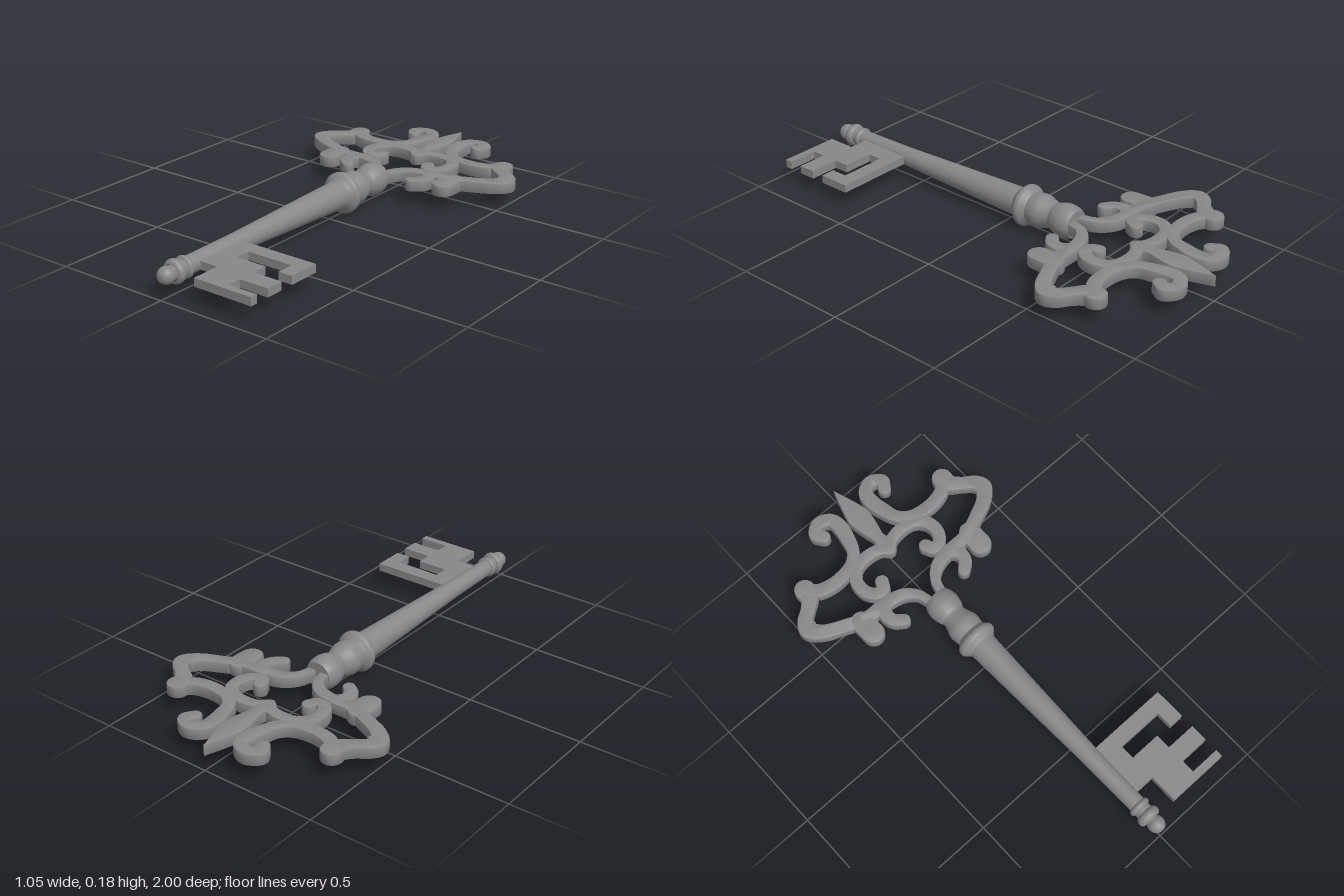
import * as THREE from 'three';
import { toCreasedNormals } from 'three/addons/utils/BufferGeometryUtils.js';

const AXIS = 0.09; // height of the shaft's axis
const FLAT = 0.088; // height of the middle of the flat parts

export function createModel() {
  const key = new THREE.Group();
  key.name = 'key';
  const mat = new THREE.MeshStandardMaterial({ color: 0x888888 });

  const add = (name, geometry, parent = key) => {
    const mesh = new THREE.Mesh(geometry, mat);
    mesh.name = name;
    parent.add(mesh);
  };

  // Flat plate lying in the xz plane; points are [x, z] in hundredths
  const plate = (points, thickness, bevel) => {
    const shape = new THREE.Shape(points.map(([x, z]) => new THREE.Vector2(x / 100, -z / 100)));
    const geo = new THREE.ExtrudeGeometry(shape, {
      depth: thickness - 2 * bevel, bevelEnabled: bevel > 0, bevelSize: bevel,
      bevelThickness: bevel, bevelOffset: -bevel, bevelSegments: 2,
    });
    geo.translate(0, 0, bevel - thickness / 2);
    geo.rotateX(-Math.PI / 2);
    geo.translate(0, FLAT, 0);
    return toCreasedNormals(geo, 0.7);
  };

  // Ribbon outline of varying half width with round ends, from [x, z, halfWidth]
  const ribbon = (stations, side) => {
    const curve = new THREE.CatmullRomCurve3(
      stations.map(([x, z, w]) => new THREE.Vector3(x * side, z, w)), false, 'centripetal');
    const n = stations.length * 7;
    const left = [], right = [], caps = [[], []];
    for (let i = 0; i <= n; i++) {
      const p = curve.getPoint(i / n), t = curve.getTangent(i / n);
      const a = Math.atan2(t.y, t.x);
      const at = (b) => [p.x + p.z * Math.cos(b), p.y + p.z * Math.sin(b)];
      left.push(at(a + Math.PI / 2));
      right.unshift(at(a - Math.PI / 2));
      if (i === 0 || i === n) {
        const start = i === 0 ? a - Math.PI / 2 : a + Math.PI / 2;
        for (let k = 1; k < 8; k++) caps[i ? 1 : 0].push(at(start - (k * Math.PI) / 8));
      }
    }
    return plate([...left, ...caps[1], ...right, ...caps[0]], 0.051, 0.006);
  };

  // Turned part around the z axis, from [radius, z]
  const turned = (name, profile) => {
    const geo = new THREE.LatheGeometry(profile.map(([r, z]) => new THREE.Vector2(r, z)), 40);
    geo.rotateX(Math.PI / 2);
    geo.translate(0, AXIS, 0);
    add(name, geo);
  };
  const smooth = (profile, n) =>
    new THREE.SplineCurve(profile.map(([r, z]) => new THREE.Vector2(r, z)))
      .getPoints(n).map((p) => [p.x, p.y]);
  // Rounded ring swelling from radius r0 to r1
  const ring = (name, z, half, r0, r1) => {
    const profile = [];
    for (let i = 0; i <= 12; i++) {
      const a = (i / 12) * Math.PI;
      profile.push([r0 + (r1 - r0) * Math.sin(a), z - half * Math.cos(a)]);
    }
    turned(name, profile);
  };

  // Ornamental bow: mirrored scrolls
  const bow = new THREE.Group();
  bow.name = 'bow';
  key.add(bow);
  const scrolls = {
    upperScroll: [
      [16.9, -86.4, 2.8], [18.9, -89.8, 2.7], [14.4, -92.8, 2.8], [9.6, -90.2, 3],
      [8.8, -84.8, 3.3], [10, -79, 3.1], [11.9, -73.3, 2.7], [16.5, -69, 2.7],
      [25.5, -67.2, 2.9], [33, -68.5, 3], [37.5, -71.5, 3],
    ],
    sideRail: [
      [38.4, -73.3, 4.5], [39.2, -69.5, 3.8], [43, -65.8, 3], [47.3, -62.3, 3.3],
      [48.8, -58.7, 3.7], [45, -54, 3.2], [37, -50, 2.9], [27.5, -46.3, 3],
      [18, -46, 2.8], [10, -44.3, 2.7], [5, -40, 2.2], [2.9, -33, 2],
    ],
    lowerKnob: [[30.2, -46.5, 4.6], [29.8, -39.5, 4.8]],
    lowerCurl: [[18, -46, 3], [20.6, -42.5, 3], [20, -38.2, 2.8], [16.6, -35.1, 2.6]],
    heartScroll: [
      [0, -63.3, 2.6], [3, -66, 2.6], [9, -67.3, 2.7], [15.8, -66.3, 2.8],
      [19.9, -61.8, 2.8], [20.3, -56, 2.8], [17.6, -51.9, 2.7], [13.8, -51.2, 2.5],
      [12.2, -54.4, 2.9],
    ],
  };
  for (const [name, stations] of Object.entries(scrolls)) {
    for (const side of [1, -1]) add(name, ribbon(stations, side), bow);
  }

  // Pointed leaf at the end of the bow
  const half = smooth([[0, -100], [2.2, -93.5], [4.3, -86.5], [4.9, -82.5], [3.8, -76],
    [2.6, -71], [3, -67], [0, -61.5]], 28);
  add('finial', plate([...half, ...half.slice(1, -1).reverse().map(([x, z]) => [-x, z])], 0.051, 0.004), bow);

  // Turned grip, collar and tapering shaft
  turned('gripEnd', [[0, -0.34], [0.059, -0.34]]);
  turned('grip', smooth([[0.059, -0.34], [0.068, -0.318], [0.071, -0.285], [0.063, -0.25],
    [0.055, -0.232], [0.061, -0.205], [0.071, -0.175], [0.071, -0.15], [0.064, -0.11]], 40));
  turned('collar', smooth([[0.062, -0.128], [0.073, -0.115], [0.086, -0.102], [0.089, -0.09],
    [0.086, -0.078], [0.073, -0.065], [0.06, -0.05]], 24));
  turned('shaft', [[0.064, -0.07], [0.061, -0.04], [0.04, 0.59], [0.036, 0.9]]);

  // Rings and rounded tip
  ring('tipRing', 0.87, 0.013, 0.034, 0.046);
  ring('tipRing', 0.92, 0.02, 0.034, 0.05);
  turned('tip', smooth([[0.034, 0.9], [0.031, 0.94], [0.036, 0.962], [0.031, 0.983],
    [0.017, 0.997], [0, 1]], 24));

  // Toothed bit on the model's left
  add('bit', plate([
    [2, 58], [38.7, 58], [38.7, 71.8], [32.4, 71.8], [32.4, 64.5], [11.8, 64.5],
    [11.8, 71], [25.5, 71], [25.5, 77.7], [38.7, 77.7], [38.7, 85.3], [25.5, 85.3],
    [25.5, 91.3], [38.7, 91.3], [38.7, 94.5], [11.8, 94.5], [11.8, 82], [2, 82],
  ], 0.035, 0));

  return key;
}
